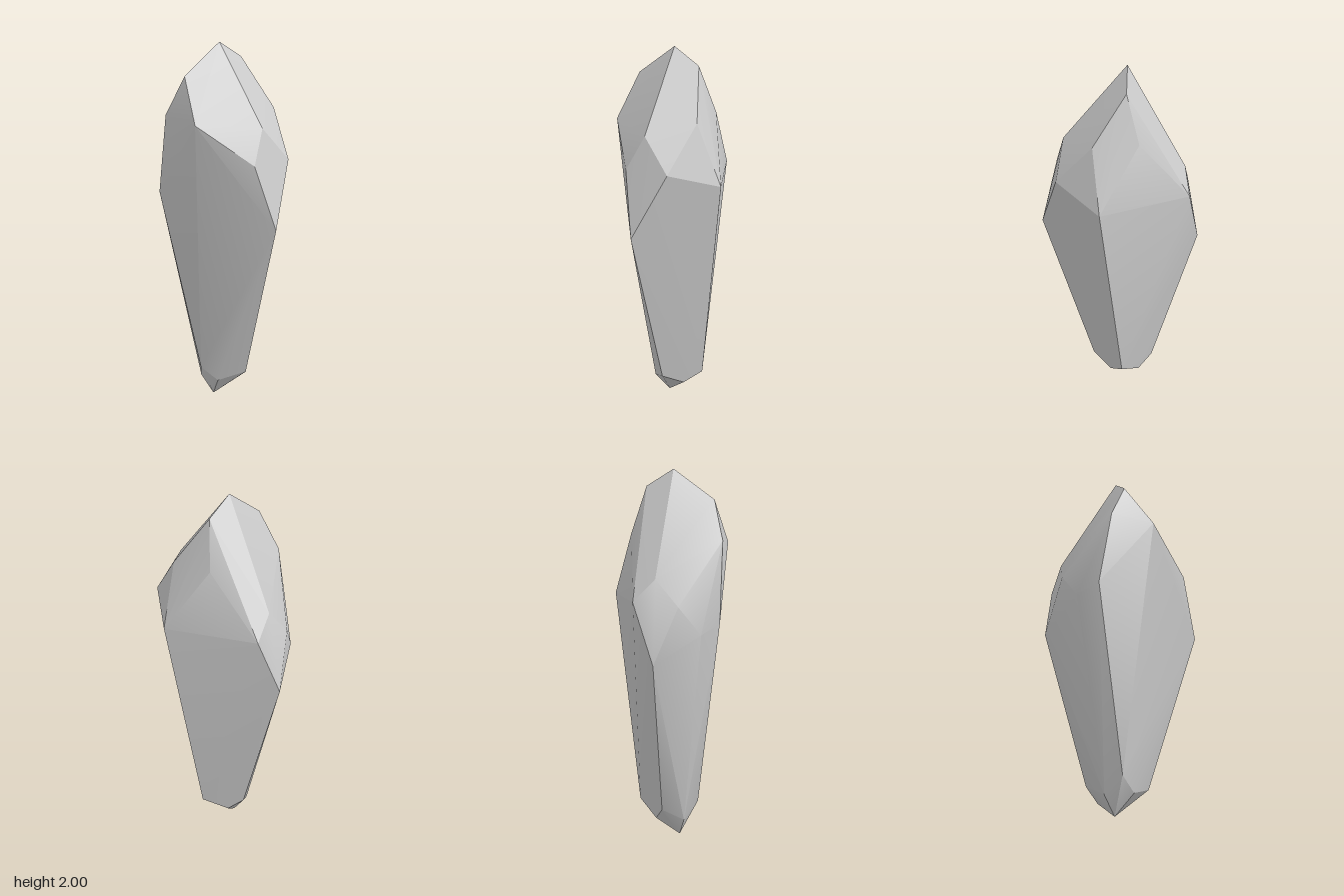
import * as THREE from 'three';
import { ConvexGeometry } from 'three/addons/geometries/ConvexGeometry.js';
import { toCreasedNormals } from 'three/addons/utils/BufferGeometryUtils.js';

// Corners of the shard, in rings from the crest down to the tip
const crest = [[-0.245, 1.84, 0.03], [-0.03, 2, -0.03], [0.11, 1.91, -0.075]];

const shoulder = [
  [-0.245, 1.61, 0.19], [0.02, 1.41, 0.35], [0.09, 1.59, 0.28], [0.245, 1.41, 0.265],
  [0.245, 1.65, 0.06], [0.155, 1.66, -0.16], [-0.095, 1.44, -0.33], [-0.33, 1.63, -0.035],
];

const girdle = [
  [0.12, 1.07, 0.405], [0.35, 1.32, -0.015], [0.005, 1.32, -0.39],
  [-0.125, 1.0, -0.405], [-0.22, 1.3, -0.31], [-0.305, 1.15, -0.22], [-0.35, 1.2, -0.1],
];

const foot = [
  [0.06, 0.18, 0.14], [0.105, 0.12, 0.02], [0.16, 0.18, -0.07], [0.025, 0.1, -0.125],
  [-0.045, 0.17, -0.18], [-0.125, 0.1, -0.08], [-0.16, 0.19, 0.015], [-0.08, 0.12, 0.07],
  [-0.07, 0, -0.03],
];

export function createModel() {
  const group = new THREE.Group();
  group.name = 'crystalShard';

  // Faceted body: flat facets, soft shading only across shallow creases
  const corners = [...crest, ...shoulder, ...girdle, ...foot].map((p) => new THREE.Vector3(...p));
  const geometry = toCreasedNormals(new ConvexGeometry(corners), 0.42);
  const shard = new THREE.Mesh(geometry, new THREE.MeshStandardMaterial({ color: 0xcccccc }));
  shard.name = 'shardBody';
  group.add(shard);
  return group;
}
